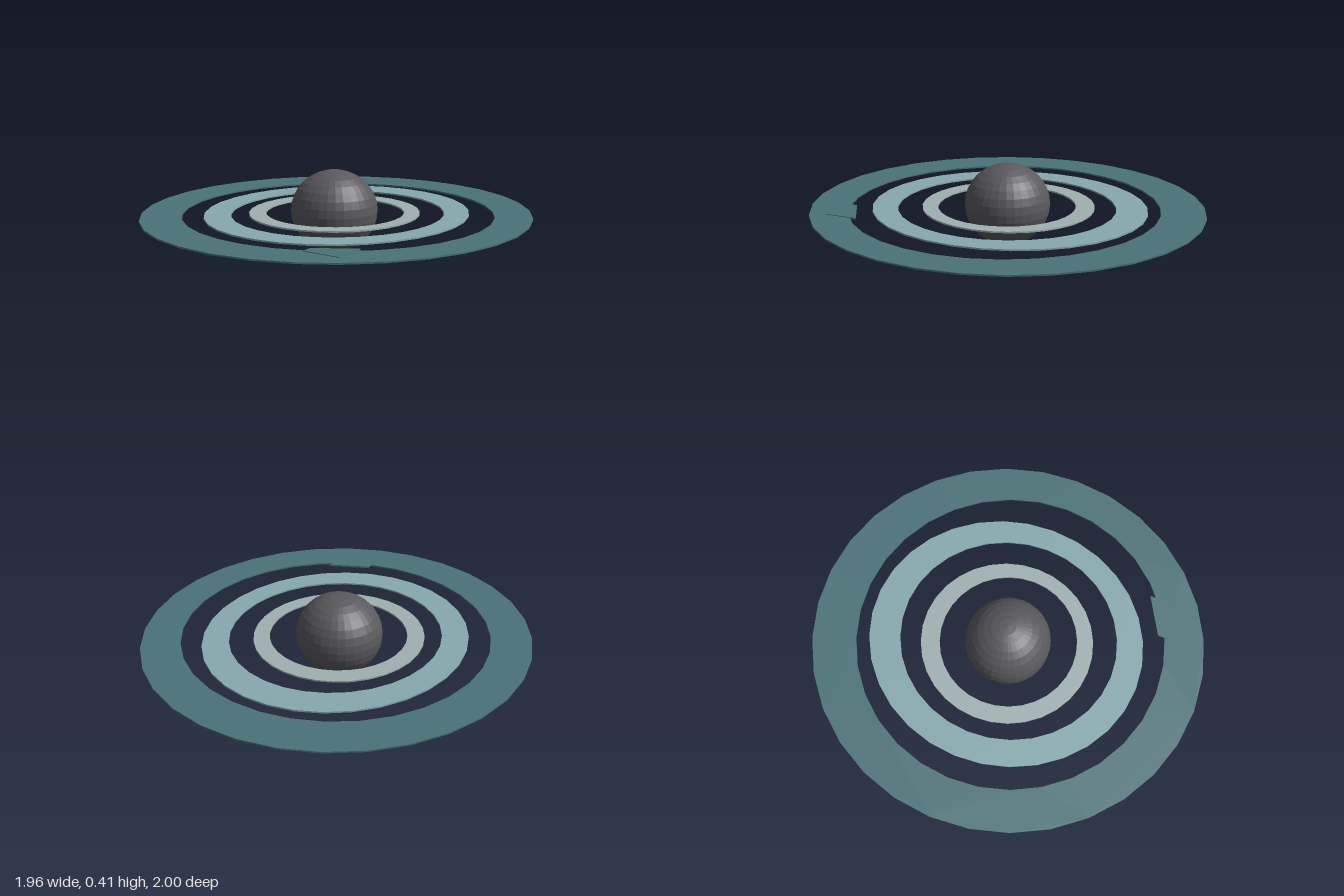
import * as THREE from 'three';

const SIDES = 32;

// Points of a many-sided ellipse in plan: centre x, centre z, half-width, half-depth
function ellipse([cx, cz, rx, rz]) {
  return Array.from({ length: SIDES }, (_, i) => {
    const a = (i / SIDES) * Math.PI * 2;
    return new THREE.Vector2(cx + rx * Math.cos(a), cz + rz * Math.sin(a));
  });
}

// Thin horizontal plate cut from a plan (x, z), with its top face at topY
function plate(name, outline, hole, topY, thickness, color) {
  const shape = new THREE.Shape(outline);
  if (hole) shape.holes.push(new THREE.Path(hole));
  const geometry = new THREE.ExtrudeGeometry(shape, { depth: thickness, bevelEnabled: false });
  geometry.rotateX(Math.PI / 2);
  geometry.translate(0, topY, 0);
  const mesh = new THREE.Mesh(geometry, new THREE.MeshStandardMaterial({ color, flatShading: true }));
  mesh.name = name;
  return mesh;
}

export function createModel() {
  const model = new THREE.Group();
  model.name = 'ringedPlanet';

  // Faceted planet
  const planet = new THREE.Mesh(
    new THREE.SphereGeometry(1, 32, 16),
    new THREE.MeshStandardMaterial({ color: 0x5a5a5e, flatShading: true })
  );
  planet.name = 'planet';
  planet.scale.set(0.222, 0.2075, 0.217);
  planet.position.set(-0.011, 0.2075, 0.005);
  model.add(planet);

  // Three slightly irregular flat rings, from the planet outwards
  const rings = [
    ['innerRing', [-0.013, 0, 0.431, 0.44], [-0.006, 0.005, 0.35, 0.35], 0x9fb0b1],
    ['middleRing', [-0.002, -0.01, 0.658, 0.704], [0.008, 0, 0.532, 0.556], 0x86a9ae],
    ['outerRing', [0, 0, 0.98, 1], [0.014, 0.008, 0.786, 0.786], 0x4a7278],
  ];
  for (const [name, outer, inner, color] of rings) {
    model.add(plate(name, ellipse(outer), ellipse(inner), 0.2, 0.008, color));
  }

  // Small slab lying on the outer ring and jutting into its opening
  const slab = [[0.31, 0.7], [0.5, 0.59], [0.5, 0.76], [0.31, 0.755]];
  model.add(plate('ringSlab', slab.map(([x, z]) => new THREE.Vector2(x, z)), null, 0.203, 0.009, 0x4a7278));

  return model;
}
